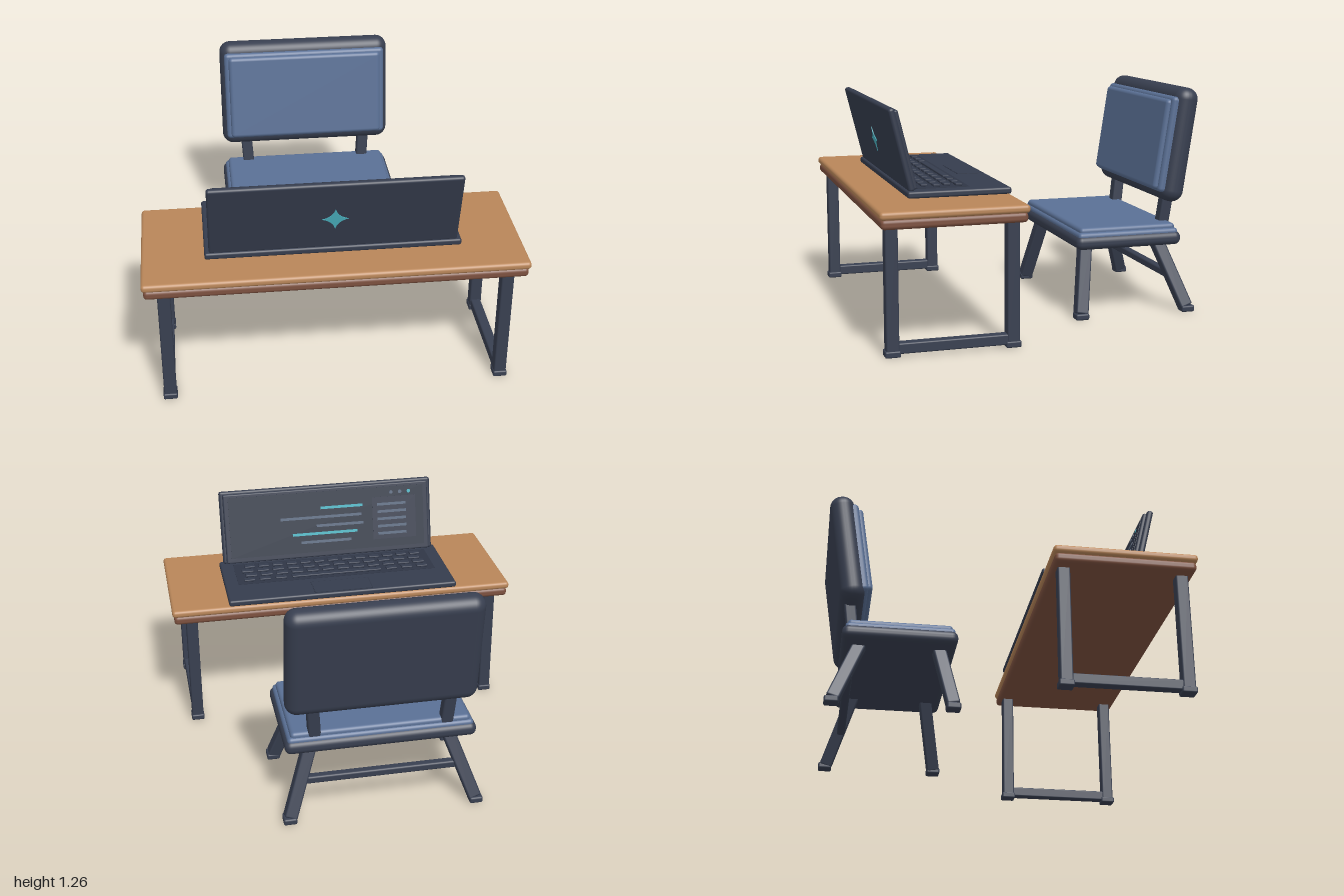
import * as THREE from 'three';
import { RoundedBoxGeometry } from 'three/addons/geometries/RoundedBoxGeometry.js';

const paint = (name, color) => Object.assign(new THREE.MeshStandardMaterial({ color }), { name });
const wood = paint('wood', 0xb98659);
const darkWood = paint('dark wood', 0x7d513f);
const metal = paint('dark metal', 0x383f50);
const shell = paint('laptop shell', 0x353c4d);
const fabric = paint('blue fabric', 0x5a7095);
const deck = paint('deck and screen', 0x2f3646);
const teal = paint('teal', 0x4bb4c2);
const slate = paint('slate', 0x5b6a80);

// Rounded box centred on x, y, z
function box(parent, name, mat, [w, h, d], [x, y, z], r = 0.008, seg = 2) {
  const m = new THREE.Mesh(new RoundedBoxGeometry(w, h, d, seg, r), mat);
  m.name = name;
  m.position.set(x, y, z);
  parent.add(m);
  return m;
}

// Thin flat plate
function plate(parent, name, mat, [w, h, d], [x, y, z]) {
  const m = new THREE.Mesh(new THREE.BoxGeometry(w, h, d), mat);
  m.name = name;
  m.position.set(x, y, z);
  parent.add(m);
}

// Square bar running between two points
function bar(parent, name, mat, a, b, w, d = w) {
  const p = new THREE.Vector3(...a), q = new THREE.Vector3(...b);
  const dir = q.clone().sub(p);
  const m = box(parent, name, mat, [w, dir.length(), d], p.clone().add(q).multiplyScalar(0.5).toArray(), 0.01);
  m.quaternion.setFromUnitVectors(new THREE.Vector3(0, 1, 0), dir.normalize());
}

function group(parent, name) {
  const g = new THREE.Group();
  g.name = name;
  parent.add(g);
  return g;
}

function buildTable(root) {
  const table = group(root, 'table');
  box(table, 'tableTop', wood, [2, 0.042, 0.76], [0, 0.727, 0.57], 0.018, 3);
  box(table, 'tableUnderside', darkWood, [1.98, 0.052, 0.745], [0, 0.683, 0.57], 0.02, 3);
  for (const x of [-0.89, 0.89]) {
    for (const z of [0.255, 0.88]) {
      box(table, 'tableLeg', metal, [0.066, 0.65, 0.066], [x, 0.345, z]);
      box(table, 'tableFoot', metal, [0.074, 0.034, 0.08], [x, 0.017, z]);
    }
    box(table, 'tableRail', metal, [0.056, 0.056, 0.6], [x, 0.043, 0.568]);
  }
}

function buildKeyboard(laptop) {
  const keys = group(laptop, 'keyboard');
  plate(keys, 'keyboardDeck', deck, [1.19, 0.004, 0.275], [0, 0.785, 0.535]);
  const key = (x, z, w) => box(keys, 'key', shell, [w, 0.012, 0.036], [x, 0.792, z], 0.004, 1);
  // Front row with the space bar
  for (const s of [-1, 1]) for (const x of [0.335, 0.43, 0.523]) key(s * x, 0.443, 0.066);
  key(0, 0.443, 0.54);
  // Three staggered rows
  [[0.503, -0.515, 12], [0.562, -0.50, 12], [0.623, -0.52, 13]].forEach(([z, x0, n]) => {
    const pitch = 1.02 / (n - 1);
    for (let i = 0; i < n; i++) key(x0 + i * pitch, z, pitch - 0.022);
  });
}

function buildScreen(lid) {
  const screen = group(lid, 'screen');
  box(screen, 'bezel', shell, [1.26, 0.42, 0.024], [0, 0.215, -0.011], 0.009);
  plate(screen, 'display', deck, [1.2, 0.37, 0.004], [0, 0.22, -0.0235]);
  plate(screen, 'sidePanel', shell, [0.27, 0.26, 0.003], [-0.415, 0.215, -0.0255]);
  // Content bars: from x, to x, height
  const rows = [[0.04, -0.22, 0.305, teal], [0.29, -0.21, 0.25, slate], [0.07, -0.22, 0.197, slate],
    [0.22, -0.18, 0.15, teal], [0.17, -0.14, 0.1, slate]];
  for (const [a, b, y, mat] of rows) plate(screen, 'contentBar', mat, [a - b, 0.016, 0.004], [(a + b) / 2, y, -0.027]);
  for (let i = 0; i < 5; i++) plate(screen, 'sideBar', slate, [0.18, 0.016, 0.004], [-0.4, 0.3 - i * 0.045, -0.028]);
  // Small round indicators
  [-0.40, -0.455, -0.51].forEach((x, i) => {
    const dot = new THREE.Mesh(new THREE.CylinderGeometry(0.011, 0.011, 0.004, 12), i === 2 ? teal : slate);
    dot.name = 'indicator';
    dot.rotation.x = Math.PI / 2;
    dot.position.set(x, 0.37, -0.027);
    screen.add(dot);
  });
}

function buildLaptop(root) {
  const laptop = group(root, 'laptop');
  box(laptop, 'laptopBase', shell, [1.345, 0.036, 0.55], [0, 0.767, 0.466], 0.012, 3);
  buildKeyboard(laptop);
  // Trackpad with a thin rim
  plate(laptop, 'trackpadRim', deck, [0.346, 0.003, 0.146], [0, 0.785, 0.28]);
  plate(laptop, 'trackpad', shell, [0.338, 0.004, 0.138], [0, 0.7855, 0.28]);
  // Hinge barrel
  const hinge = new THREE.Mesh(new THREE.CylinderGeometry(0.014, 0.014, 1.1, 16), metal);
  hinge.name = 'hinge';
  hinge.rotation.z = Math.PI / 2;
  hinge.position.set(0, 0.787, 0.703);
  laptop.add(hinge);
  // Leaning lid, its screen toward the chair
  const lid = group(laptop, 'lid');
  lid.position.set(0, 0.782, 0.7);
  lid.rotation.x = 0.24;
  box(lid, 'lidShell', shell, [1.3, 0.44, 0.034], [0, 0.222, 0.012], 0.014, 3);
  buildScreen(lid);
  // Four-pointed star ornament
  const star = new THREE.Shape();
  star.moveTo(0, 0.07);
  for (let i = 1; i <= 4; i++) {
    const a = Math.PI / 2 * (1 - i), c = a + Math.PI / 4;
    star.quadraticCurveTo(0.018 * Math.cos(c), 0.018 * Math.sin(c), 0.07 * Math.cos(a), 0.07 * Math.sin(a));
  }
  const ornament = new THREE.Mesh(new THREE.ExtrudeGeometry(star, { depth: 0.004, bevelEnabled: false, curveSegments: 8 }), teal);
  ornament.name = 'lidStar';
  ornament.position.set(0, 0.208, 0.028);
  lid.add(ornament);
}

function buildChair(root) {
  const chair = group(root, 'chair');
  // Seat
  box(chair, 'seatFrame', metal, [1.03, 0.076, 0.615], [0, 0.421, -0.541], 0.034, 4);
  box(chair, 'seatPadding', fabric, [1.0, 0.05, 0.585], [0, 0.452, -0.54], 0.02, 3);
  box(chair, 'seatCushion', fabric, [0.965, 0.05, 0.56], [0, 0.477, -0.54], 0.02, 3);
  // Backrest, leaning away from the table
  const back = group(chair, 'backrest');
  back.position.set(0, 0.938, -0.843);
  back.rotation.x = -0.15;
  box(back, 'backShell', metal, [1.02, 0.64, 0.135], [0, 0, 0], 0.064, 6);
  box(back, 'backPadding', fabric, [0.97, 0.535, 0.06], [0, -0.005, 0.058], 0.022, 3);
  box(back, 'backCushion', fabric, [0.92, 0.505, 0.06], [0, -0.01, 0.082], 0.022, 3);
  for (const s of [-1, 1]) {
    bar(chair, 'backPost', metal, [s * 0.352, 0.43, -0.785], [s * 0.372, 0.74, -0.825], 0.066, 0.062);
    // Splayed legs with feet
    bar(chair, 'frontLeg', metal, [s * 0.505, 0.025, -0.257], [s * 0.365, 0.41, -0.327], 0.07);
    bar(chair, 'backLeg', metal, [s * 0.505, 0.025, -0.882], [s * 0.365, 0.41, -0.745], 0.07);
    for (const z of [-0.257, -0.886]) box(chair, 'chairFoot', metal, [0.072, 0.036, 0.076], [s * 0.508, 0.018, z], 0.01);
  }
  box(chair, 'crossBar', metal, [0.88, 0.042, 0.046], [0, 0.204, -0.805], 0.01);
}

export function createModel() {
  const root = new THREE.Group();
  root.name = 'deskSet';
  buildTable(root);
  buildLaptop(root);
  buildChair(root);
  return root;
}
